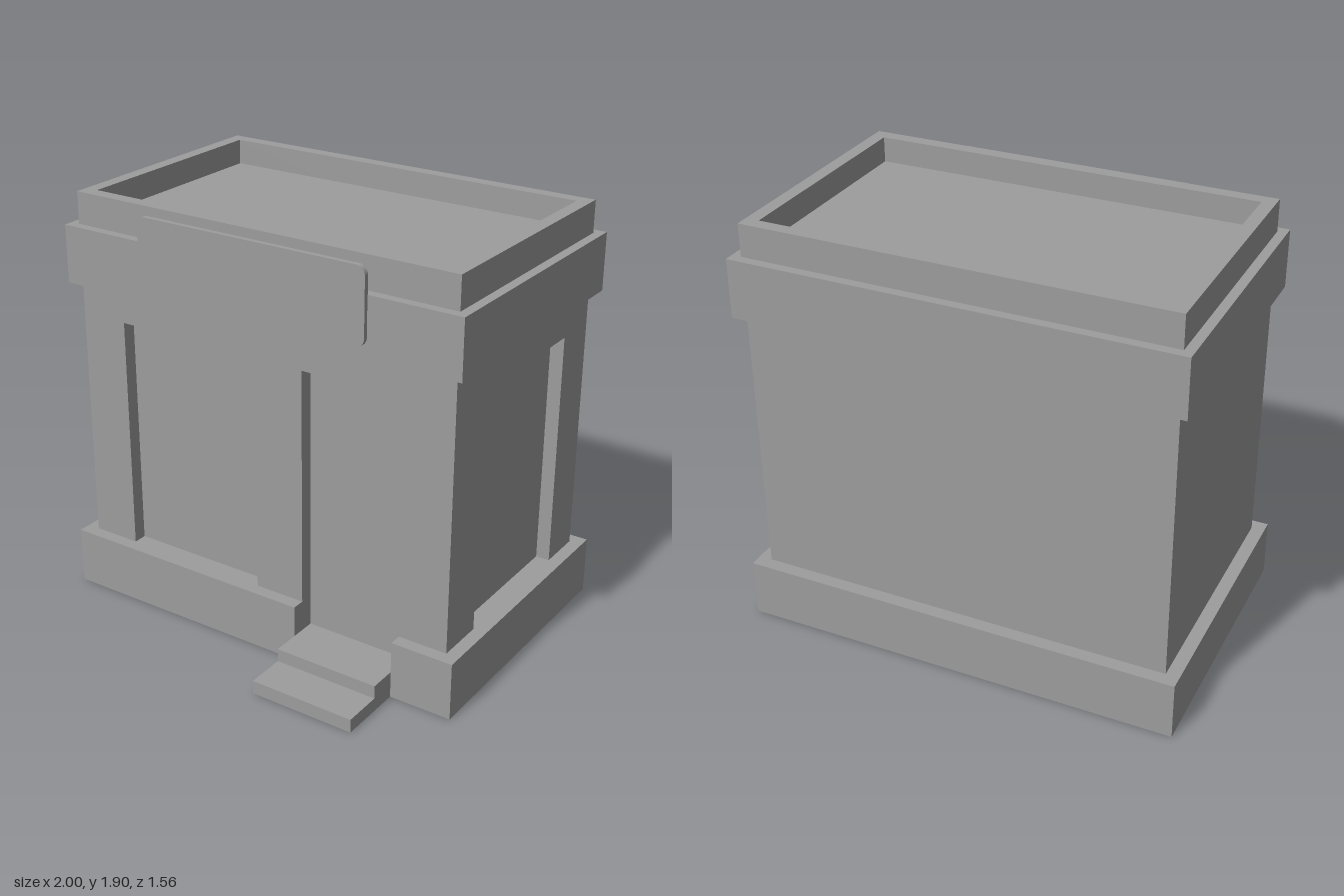
import * as THREE from 'three';

const material = new THREE.MeshStandardMaterial({ color: 0x9d9d9d, flatShading: true });
const BACK = -0.72, FRONT = 0.416, SIDE = 0.94; // outer wall planes
const RECESS = 0.063; // depth of windows and door
const DOOR = [0.224, 0.713], SILL = 0.265, HEAD = 1.348, STEP = 0.122;

export function createModel() {
  const group = new THREE.Group();

  const add = (name, geometry) => {
    const mesh = new THREE.Mesh(geometry, material);
    mesh.name = name;
    group.add(mesh);
    return mesh;
  };

  // Box given by its limits on each axis
  const box = (name, [x0, x1], [y0, y1], [z0, z1]) =>
    add(name, new THREE.BoxGeometry(x1 - x0, y1 - y0, z1 - z0))
      .position.set((x0 + x1) / 2, (y0 + y1) / 2, (z0 + z1) / 2);

  const polygon = (points, Type = THREE.Shape) =>
    new Type(points.map(([x, y]) => new THREE.Vector2(x, y)));
  const rect = (x0, x1, y0, y1, Type) =>
    polygon([[x0, y0], [x1, y0], [x1, y1], [x0, y1]], Type);
  const extrude = (shape, depth) =>
    new THREE.ExtrudeGeometry(shape, { depth, bevelEnabled: false, curveSegments: 6 });

  // Plan shape drawn as (x, -z), raised from y0 to y1
  const plan = (name, shape, y0, y1) =>
    add(name, extrude(shape, y1 - y0).rotateX(-Math.PI / 2).translate(0, y0, 0));

  // Rectangular ring around the building
  const ring = (name, outer, inner, y0, y1) => {
    const shape = rect(-outer[0], outer[0], -outer[2], -outer[1]);
    shape.holes.push(rect(-inner[0], inner[0], -inner[2], -inner[1], THREE.Path));
    plan(name, shape, y0, y1);
  };

  // Plinth, notched for the doorway
  plan('plinth', polygon([
    [-1, -0.475], [DOOR[0], -0.475], [DOOR[0], -0.3], [DOOR[1], -0.3],
    [DOOR[1], -0.475], [1, -0.475], [1, 0.78], [-1, 0.78],
  ]), 0, SILL);

  // Entrance steps run into the doorway
  box('lowerStep', DOOR, [0, 0.062], [0.3, 0.78]);
  box('upperStep', DOOR, [0.062, STEP], [0.3, 0.6]);

  // Solid core gives the back, left wall and recessed panels
  box('buildingCore', [-SIDE, SIDE - RECESS], [0.1, 1.5], [BACK, FRONT - RECESS]);

  // Front wall with shop window and door opening
  const front = polygon([
    [-SIDE, STEP], [DOOR[0], STEP], [DOOR[0], HEAD], [DOOR[1], HEAD],
    [DOOR[1], STEP], [SIDE, STEP], [SIDE, 1.5], [-SIDE, 1.5],
  ]);
  front.holes.push(rect(-0.714, -0.014, SILL, HEAD, THREE.Path));
  add('frontWall', extrude(front, RECESS)).position.z = FRONT - RECESS;

  // Right-hand wall with one window, drawn as (-z, y)
  const side = rect(RECESS - FRONT, -BACK, STEP, 1.5);
  side.holes.push(rect(-0.19, 0.508, SILL, HEAD, THREE.Path));
  add('sideWall', extrude(side, RECESS).rotateY(Math.PI / 2)).position.x = SIDE - RECESS;

  // Cornice, parapet and sunken roof
  ring('cornice', [0.983, -0.763, 0.458], [0.92, -0.7, 0.396], 1.493, 1.756);
  ring('parapet', [SIDE, BACK, FRONT], [0.88, -0.66, 0.355], 1.5, 1.901);
  box('roofDeck', [-0.9, 0.9], [1.6, 1.787], [-0.68, 0.375]);

  // Blank sign board with rounded corners
  const w = 0.56, b = 1.541, t = 1.875, r = 0.04;
  const sign = new THREE.Shape();
  sign.absarc(w - r, b + r, r, -Math.PI / 2, 0);
  sign.absarc(w - r, t - r, r, 0, Math.PI / 2);
  sign.absarc(r - w, t - r, r, Math.PI / 2, Math.PI);
  sign.absarc(r - w, b + r, r, Math.PI, Math.PI * 1.5);
  add('signBoard', extrude(sign, 0.022)).position.z = 0.456;

  return group;
}
